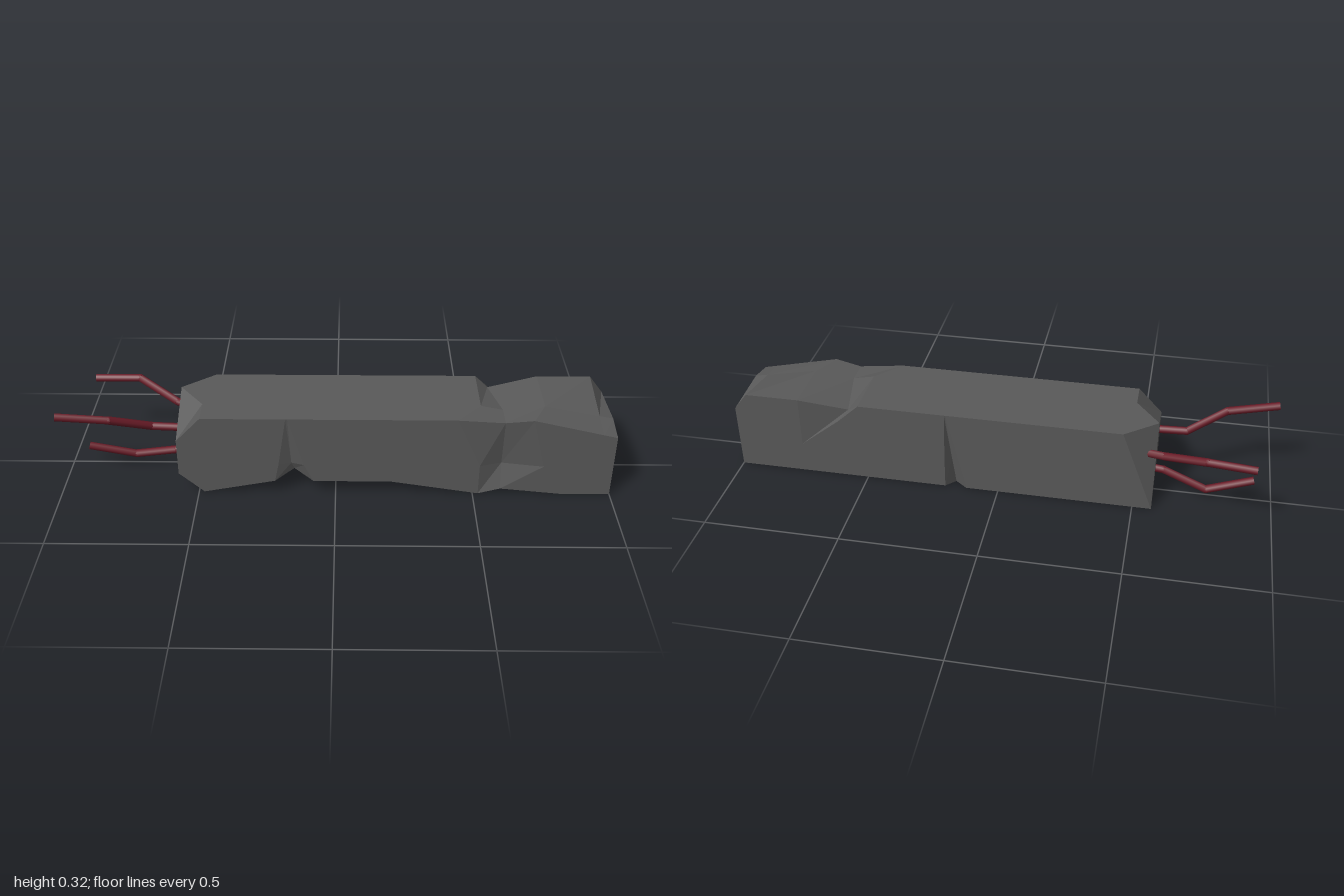
import * as THREE from 'three';

const HEIGHT = 0.314;
const STATIONS = [-0.57, -0.48, -0.22, -0.15, -0.08, 0.12, 0.165, 0.2, 0.52, 0.6, 0.75, 0.95, 1];

// Cross-section corners [y, z]: up the front, over the top, down the back
const SECTION = [
  [0, 0.19], [0.12, 0.19], [HEIGHT, 0.19], [HEIGHT, 0.09],
  [HEIGHT, -0.125], [0.12, -0.125], [0, -0.125], [0, -0.08],
];
// The same corners where the left end is chipped down to a smaller face
const LEFT_END = [
  [0.08, 0.19], [0.15, 0.19], [0.22, 0.19], [HEIGHT, -0.03],
  [0.16, -0.078], [0.08, -0.102], [0, -0.125], [0.01, -0.08],
];

// Corner j of the section at one station, with the damage applied by rule
function corner(station, j) {
  let x = STATIONS[station];
  if (station === 0) return [x, ...LEFT_END[j]];
  let [y, z] = SECTION[j];
  const front = j < 3, back = j > 3 && j < 7;
  const t = y / HEIGHT;

  // slanted chip at the back left corner
  if (station === 1 && back) x = -0.57 + 0.12 * t;

  // broken lower front edge
  if (j === 0 && x > -0.3 && x < 0.3) y = 0.05;

  // cracks: three stations draw together towards the top, the middle one sinks in
  if (front && station >= 2 && station <= 4) {
    x = THREE.MathUtils.lerp(x, -0.18, t * 0.9);
    if (station === 3) z -= 0.025 * (1 - t);
    if (station === 3 && j === 0) y = 0.09;
  }
  if (back && station >= 5 && station <= 7) {
    x = THREE.MathUtils.lerp(x, 0.2, t * 0.9);
    if (station === 6) z += 0.035 * (1 - t);
  }

  // dented waist, its upper front edge chipped further to the left
  if (j === 2 && station === 8) x = 0.43;
  if (j === 2 && station === 10) x = 0.7;
  if (j === 0 && station === 10) x = 0.82;
  if (station === 9) {
    if (j === 0) y = 0.022;
    if (j === 1) z -= 0.025;
    if (j === 2) z -= 0.01;
    if (j === 2 || j === 3) y -= 0.016;
    if (j === 4) [x, y, z] = [0.565, 0.28, -0.1];
    if (j === 5) y = 0.24;
  }

  // worn slope at the upper right end
  if (j === 2) y -= 0.23 * Math.max(0, x - 0.7);
  if (j === 3) y -= 0.2 * Math.max(0, x - 0.75);
  if (j === 4 && x === 1) y = 0.25;
  return [x, y, z];
}

function beamGeometry() {
  const n = SECTION.length;
  const rings = STATIONS.map((x, i) => SECTION.map((c, j) => corner(i, j)));
  const out = [];
  const tri = (a, b, c) => out.push(...a, ...b, ...c);
  const last = rings.length - 1;
  for (let j = 0; j < n; j++) {
    const k = (j + 1) % n;
    for (let i = 0; i < last; i++) {
      tri(rings[i][j], rings[i + 1][j], rings[i + 1][k]);
      tri(rings[i][j], rings[i + 1][k], rings[i][k]);
    }
    // end caps
    tri([-0.57, 0.13, 0.03], rings[0][j], rings[0][k]);
    tri([1, 0.12, 0.03], rings[last][k], rings[last][j]);
  }
  const geometry = new THREE.BufferGeometry();
  geometry.setAttribute('position', new THREE.Float32BufferAttribute(out, 3));
  geometry.computeVertexNormals();
  return geometry;
}

// Bent rod: straight cylinders with a ball at each bend
function makeRod(points, material) {
  const radius = 0.015;
  const rod = new THREE.Group();
  rod.name = 'bentRod';
  const up = new THREE.Vector3(0, 1, 0);
  for (let i = 0; i < points.length - 1; i++) {
    const dir = points[i + 1].clone().sub(points[i]);
    const part = new THREE.Mesh(
      new THREE.CylinderGeometry(radius, radius, dir.length(), 8), material);
    part.name = 'rodSegment';
    part.position.copy(points[i]).addScaledVector(dir, 0.5);
    part.quaternion.setFromUnitVectors(up, dir.normalize());
    rod.add(part);
    if (i > 0) {
      const bend = new THREE.Mesh(new THREE.SphereGeometry(radius, 8, 6), material);
      bend.name = 'rodBend';
      bend.position.copy(points[i]);
      rod.add(bend);
    }
  }
  return rod;
}

export function createModel() {
  const concrete = new THREE.MeshStandardMaterial({ color: 0x5a5a5a });
  concrete.name = 'darkConcrete';
  const rust = new THREE.MeshStandardMaterial({ color: 0x6b1c28 });
  rust.name = 'rustRed';

  const model = new THREE.Group();
  model.name = 'brokenBeam';
  const beam = new THREE.Mesh(beamGeometry(), concrete);
  beam.name = 'concreteBeam';
  model.add(beam);

  // reinforcing rods sticking out of the left end
  const v = (x, y, z) => new THREE.Vector3(x, y, z);
  const upperFront = [v(-0.995, 0.308, 0.175), v(-0.81, 0.28, 0.15), v(-0.67, 0.217, 0.085), v(-0.5, 0.21, 0.085)];
  const upperBack = [v(-0.92, 0.262, -0.185), v(-0.75, 0.268, -0.175), v(-0.6, 0.215, -0.09), v(-0.48, 0.205, -0.055)];
  const lower = [v(-0.93, 0.08, 0.01), v(-0.76, 0.032, -0.01), v(-0.6, 0.075, 0.025), v(-0.5, 0.08, 0.035)];
  for (const points of [upperFront, upperBack, lower]) model.add(makeRod(points, rust));
  return model;
}
